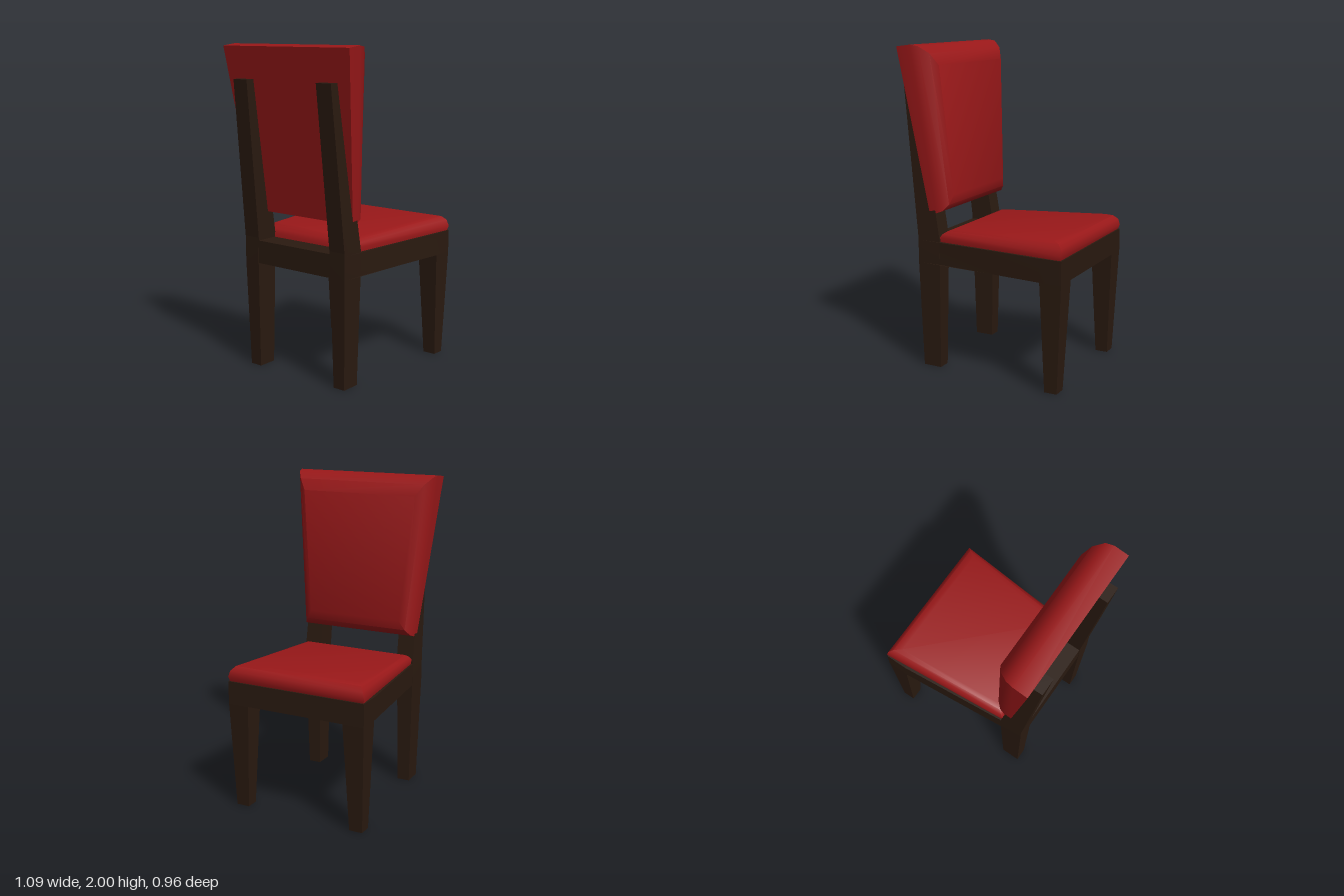
import * as THREE from 'three';
import { toCreasedNormals } from 'three/addons/utils/BufferGeometryUtils.js';

const wood = new THREE.MeshStandardMaterial({ color: 0x2a1a10 });
const fabric = new THREE.MeshStandardMaterial({ color: 0x9a1819 });

// Skin a closed solid through rings of [x, y, z] points; mirror = -1 flips it in z.
function loft(rings, crease, mirror = 1) {
  const n = rings[0].length;
  const pts = rings.flat().map(([x, y, z]) => new THREE.Vector3(x, y, z * mirror));
  const tris = [];
  for (let r = 0; r < rings.length - 1; r++) {
    for (let i = 0; i < n; i++) {
      const a = r * n + i, b = r * n + (i + 1) % n;
      tris.push([a, b, b + n], [a, b + n, a + n]);
    }
  }
  const last = (rings.length - 1) * n;
  for (let i = 1; i < n - 1; i++) {
    tris.push([0, i + 1, i], [last, last + i, last + i + 1]);
  }
  // A negative signed volume means the faces point inwards
  const cross = new THREE.Vector3();
  const volume = tris.reduce((v, [a, b, c]) => v + pts[a].dot(cross.crossVectors(pts[b], pts[c])), 0);
  if (volume < 0) tris.forEach((t) => t.reverse());

  const geometry = new THREE.BufferGeometry().setFromPoints(pts);
  geometry.setIndex(tris.flat());
  return toCreasedNormals(geometry, crease);
}

// Horizontal rectangle at height y
const rect = (y, x0, x1, z0, z1) => [[x0, y, z0], [x1, y, z0], [x1, y, z1], [x0, y, z1]];

// Cushion ring: two opposite edges, each spanning -z to z
const band = ([ax, ay, az], [bx, by, bz]) => [[ax, ay, -az], [ax, ay, az], [bx, by, bz], [bx, by, -bz]];

export function createModel() {
  const chair = new THREE.Group();
  chair.name = 'diningChair';
  const add = (name, geometry, material) => {
    const mesh = new THREE.Mesh(geometry, material);
    mesh.name = name;
    chair.add(mesh);
  };

  // Seat frame: solid apron narrowing towards the back
  const plan = [[0.54, 0.455], [0.4, 0.455], [-0.3, 0.39], [-0.45, 0.39]];
  const outline = [...plan, ...plan.map(([x, z]) => [x, -z]).reverse()];
  add('seatFrame', loft([0.67, 0.812].map((y) => outline.map(([x, z]) => [x, y, z])), 0.1), wood);

  for (const [side, s] of [['left', 1], ['right', -1]]) {
    // Tapered front leg
    add(`${side}FrontLeg`, loft([
      rect(0, 0.43, 0.51, 0.35, 0.435),
      rect(0.68, 0.402, 0.54, 0.318, 0.455),
    ], 0.4, s), wood);

    // Back leg running up into the raked post
    add(`${side}BackLegAndPost`, loft([
      rect(0, -0.435, -0.315, 0.295, 0.375),
      rect(0.67, -0.452, -0.302, 0.285, 0.391),
      rect(0.83, -0.453, -0.302, 0.28, 0.391),
      rect(1.795, -0.55, -0.46, 0.265, 0.372),
    ], 0.05, s), wood);
  }

  // Seat cushion: front edge and back edge of each ring, bottom to top
  add('seatCushion', loft([
    band([0.53, 0.81, 0.448], [-0.31, 0.81, 0.378]),
    band([0.54, 0.84, 0.455], [-0.305, 0.84, 0.382]),
    band([0.532, 0.878, 0.444], [-0.29, 0.861, 0.372]),
    band([0.505, 0.904, 0.42], [-0.265, 0.878, 0.352]),
    band([0.46, 0.914, 0.388], [-0.235, 0.887, 0.325]),
  ], 0.7), fabric);

  // Backrest cushion: top edge and bottom edge of each ring, back to front
  add('backrestCushion', loft([
    band([-0.522, 1.988, 0.48], [-0.37, 0.983, 0.386]),
    band([-0.43, 2.0, 0.48], [-0.325, 0.99, 0.386]),
    band([-0.38, 1.992, 0.47], [-0.285, 1.005, 0.376]),
    band([-0.325, 1.95, 0.432], [-0.255, 1.042, 0.35]),
    band([-0.29, 1.88, 0.385], [-0.24, 1.1, 0.315]),
  ], 0.7), fabric);

  return chair;
}
